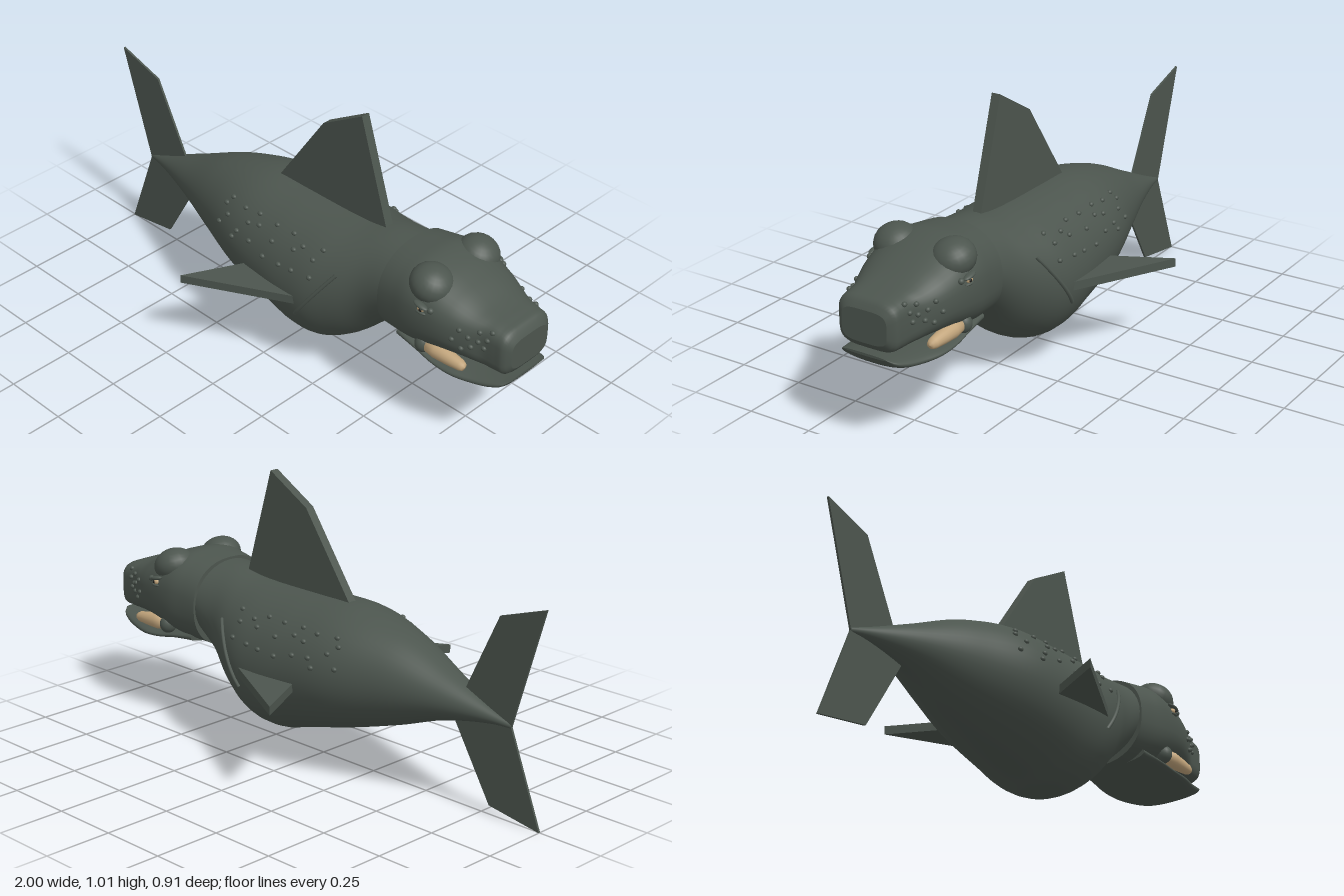
import * as THREE from 'three';

const mat = (name, color, side = THREE.FrontSide) => Object.assign(new THREE.MeshStandardMaterial({ color, side }), { name });

// Each station: x, top, bottom, half width, roundness power (2 = ellipse, more = boxier)
const bodyStations = [
  [-0.87, 0.345, 0.33, 0.005, 2], [-0.8, 0.372, 0.328, 0.025, 2], [-0.6, 0.46, 0.29, 0.095, 2],
  [-0.4, 0.55, 0.22, 0.168, 2], [-0.2, 0.6, 0.16, 0.235, 2], [0, 0.605, 0.108, 0.26, 2],
  [0.1, 0.605, 0.08, 0.265, 2], [0.2, 0.606, 0.09, 0.26, 2], [0.3, 0.611, 0.15, 0.228, 2],
  [0.4, 0.625, 0.245, 0.187, 2], [0.52, 0.63, 0.35, 0.175, 2]];
const headStations = [
  [0.49, 0.638, 0.305, 0.185, 2.3], [0.55, 0.645, 0.31, 0.192, 2.4], [0.62, 0.65, 0.32, 0.2, 2.5],
  [0.7, 0.632, 0.34, 0.197, 2.5], [0.78, 0.6, 0.355, 0.182, 2.5], [0.86, 0.565, 0.36, 0.15, 2.9],
  [0.9, 0.553, 0.36, 0.128, 3.6], [0.95, 0.542, 0.362, 0.12, 4], [0.985, 0.53, 0.368, 0.112, 4],
  [1, 0.505, 0.39, 0.09, 4]];
const jawStations = [
  [0.55, 0.37, 0.315, 0.15, 2.3], [0.65, 0.35, 0.31, 0.16, 2.3], [0.72, 0.336, 0.298, 0.165, 2.3],
  [0.8, 0.335, 0.288, 0.163, 2.3], [0.88, 0.338, 0.287, 0.143, 2.3], [0.95, 0.347, 0.3, 0.122, 2.3],
  [0.985, 0.352, 0.322, 0.105, 2.3], [1, 0.354, 0.345, 0.085, 2.3]];

// Smooth interpolation through the stations
function profile(stations) {
  const curve = new THREE.CubicInterpolant(stations.map(s => s[0]), stations.flatMap(s => s.slice(1)), 4, new Array(4));
  return x => {
    const [top, bottom, w, n] = curve.evaluate(x);
    return { cy: (top + bottom) / 2, h: Math.max((top - bottom) / 2, 0.002), w: Math.max(w, 0.002), n };
  };
}

// Half width of the skin at a given x and y
function skinZ(at, x, y) {
  const { cy, h, w, n } = at(x);
  return w * Math.pow(Math.max(0, 1 - Math.pow(Math.abs((y - cy) / h), n)), 1 / n);
}

// Closed skin swept along x, with flat end caps
function loft(stations, at, steps = 48, sides = 40) {
  const x0 = stations[0][0], x1 = stations[stations.length - 1][0], pos = [], index = [];
  const ring = x => {
    const { cy, h, w, n } = at(x);
    for (let j = 0; j < sides; j++) {
      const a = j / sides * Math.PI * 2, c = Math.cos(a), s = Math.sin(a);
      pos.push(x, cy + h * Math.sign(s) * Math.pow(Math.abs(s), 2 / n), w * Math.sign(c) * Math.pow(Math.abs(c), 2 / n));
    }
  };
  for (let i = 0; i <= steps; i++) ring(x0 + (x1 - x0) * i / steps);
  for (let i = 0; i < steps; i++) for (let j = 0; j < sides; j++) {
    const k = (j + 1) % sides, a = i * sides + j, b = i * sides + k;
    index.push(a, a + sides, b, a + sides, b + sides, b);
  }
  for (const x of [x0, x1]) {
    const start = pos.length / 3;
    ring(x);
    pos.push(x, at(x).cy, 0);
    for (let j = 0; j < sides; j++) {
      const a = start + j, b = start + (j + 1) % sides;
      index.push(start + sides, ...(x === x0 ? [a, b] : [b, a]));
    }
  }
  const g = new THREE.BufferGeometry();
  g.setAttribute('position', new THREE.Float32BufferAttribute(pos, 3));
  g.setIndex(index);
  g.computeVertexNormals();
  return g;
}

// Flat slab cut from an outline, centred on its thickness
function slab(points, depth) {
  const shape = new THREE.Shape(points.map(p => new THREE.Vector2(...p)));
  return new THREE.ExtrudeGeometry(shape, { depth, bevelEnabled: false }).translate(0, 0, -depth / 2);
}

export function createModel() {
  const model = new THREE.Group();
  const skin = mat('skin', 0x4c554e);
  const ivory = mat('ivory', 0xc2a57c);
  const dark = mat('pupil', 0x1c1d1a);
  const add = (name, geometry, material = skin) => {
    const mesh = new THREE.Mesh(geometry, material);
    mesh.name = name;
    model.add(mesh);
    return mesh;
  };
  const ball = (name, p, r, material) => {
    const m = add(name, new THREE.SphereGeometry(1, 20, 14), material);
    m.position.set(...p);
    m.scale.set(...r);
    return m;
  };

  // Body, head and jaw
  const bodyAt = profile(bodyStations), headAt = profile(headStations), jawAt = profile(jawStations);
  add('body', loft(bodyStations, bodyAt, 64));
  add('head', loft(headStations, headAt));
  add('lowerJaw', loft(jawStations, jawAt, 30));

  // Upright fins
  add('dorsalFin', slab([[-0.15, 0.59], [0.07, 0.905], [0.25, 1.01], [0.38, 0.59]], 0.034));
  add('upperTailFin', slab([[-0.87, 0.335], [-1, 0.767], [-0.81, 0.706], [-0.66, 0.4]], 0.008));
  add('lowerTailFin', slab([[-0.87, 0.335], [-1, 0], [-0.785, 0.033], [-0.62, 0.31]], 0.008));

  // Wart positions (x, y) on flank and snout
  const flankWarts = [
    [-0.23, 0.53], [-0.15, 0.53], [-0.08, 0.537], [0.01, 0.535], [0.09, 0.537], [0.15, 0.52], [0.23, 0.535],
    [-0.25, 0.505], [-0.22, 0.48], [-0.11, 0.5], [-0.06, 0.51], [0.02, 0.49], [0.12, 0.5], [0.21, 0.5],
    [-0.26, 0.435], [-0.17, 0.425], [-0.15, 0.455], [-0.08, 0.45], [0, 0.43], [0.08, 0.435], [0.14, 0.44], [0.22, 0.445]];
  const snoutWarts = [
    [0.83, 0.51], [0.86, 0.49], [0.89, 0.515], [0.92, 0.495], [0.87, 0.455], [0.91, 0.46],
    [0.84, 0.44], [0.93, 0.525], [0.89, 0.48], [0.81, 0.47]];

  for (const s of [1, -1]) {
    const side = s > 0 ? 'right' : 'left';

    add(side + 'PectoralFin', slab([[-0.2, s * 0.457], [-0.07, s * 0.2], [0.17, s * 0.2], [0.17, s * 0.262]], 0.032)
      .rotateX(Math.PI / 2).translate(0, 0.335, 0));

    // Raised gill ridge following the flank
    const gill = Array.from({ length: 9 }, (_, i) => {
      const x = 0.17 + 0.145 * i / 8, y = 0.275 + 0.21 * i / 8;
      return new THREE.Vector3(x, y, s * (skinZ(bodyAt, x, y) + 0.003));
    });
    add(side + 'GillRidge', new THREE.TubeGeometry(new THREE.CatmullRomCurve3(gill), 24, 0.007, 8));

    for (const [x, y] of flankWarts) ball(side + 'FlankWart', [x, y, s * skinZ(bodyAt, x, y)], [0.011, 0.009, 0.009]);
    for (const [x, y] of snoutWarts) ball(side + 'SnoutWart', [x, y, s * skinZ(headAt, x, y)], [0.01, 0.009, 0.009]);

    // Brow dome, eye and lids
    ball(side + 'Brow', [0.67, 0.595, s * 0.115], [0.078, 0.063, 0.078]).rotation.z = -0.35;
    const ez = skinZ(headAt, 0.69, 0.54);
    ball(side + 'Eye', [0.69, 0.54, s * (ez - 0.003)], [0.015, 0.011, 0.012], ivory);
    ball(side + 'Pupil', [0.694, 0.54, s * (ez + 0.006)], [0.006, 0.006, 0.005], dark);
    ball(side + 'UpperLid', [0.69, 0.554, s * ez], [0.03, 0.008, 0.014]).rotation.z = -0.2;
    ball(side + 'LowerLid', [0.69, 0.527, s * ez], [0.022, 0.006, 0.01]);
    ball(side + 'LidWart', [0.725, 0.545, s * skinZ(headAt, 0.725, 0.545)], [0.012, 0.011, 0.011]);

    // Blunt tusk lying along the mouth
    const tusk = [[0, 0], [0.014, 0.005], [0.02, 0.02], [0.026, 0.07], [0.03, 0.12], [0.026, 0.16], [0, 0.17]]
      .map(p => new THREE.Vector2(...p));
    const t = add(side + 'Tusk', new THREE.LatheGeometry(tusk, 20).rotateZ(Math.PI / 2), ivory);
    t.position.set(0.855, 0.36, s * 0.148);
    t.rotation.z = -0.06;
    ball(side + 'MouthCorner', [0.675, 0.37, s * 0.15], [0.03, 0.035, 0.035]);
  }
  return model;
}
